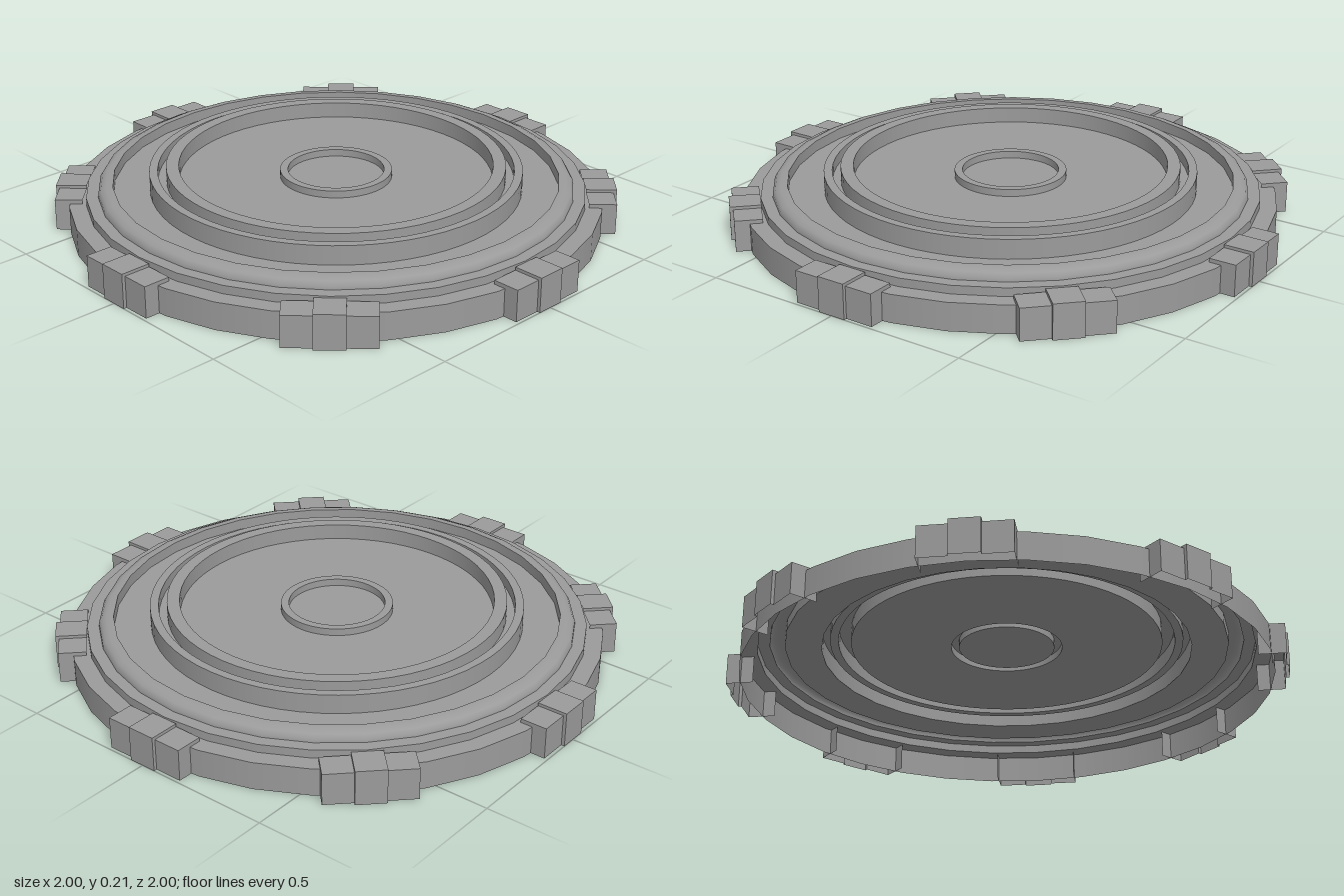
import * as THREE from 'three';
import { mergeGeometries } from 'three/addons/utils/BufferGeometryUtils.js';

const material = new THREE.MeshStandardMaterial({ color: 0x9b9b9b, side: THREE.DoubleSide });

// Turned thin shell; each run of [radius, y] points is smooth, with a sharp edge between runs.
function turned(name, runs, sides) {
  const parts = runs.map(run =>
    new THREE.LatheGeometry(run.map(([r, y]) => new THREE.Vector2(r, y)), sides));
  const mesh = new THREE.Mesh(mergeGeometries(parts), material);
  mesh.name = name;
  return mesh;
}

// Split a profile into one sharp-edged run per segment.
const sharp = points => points.slice(1).map((p, i) => [points[i], p]);

// Box between limits that keeps only the listed faces.
const LEFT = 0, RIGHT = 1, TOP = 2, OUTER = 4;
function openBox(faces, [x0, x1], [y0, y1], [z0, z1]) {
  const box = new THREE.BoxGeometry(x1 - x0, y1 - y0, z1 - z0);
  const index = Array.from(box.index.array);
  box.setIndex(faces.flatMap(f => index.slice(f * 6, f * 6 + 6)));
  box.clearGroups();
  return box.translate((x0 + x1) / 2, (y0 + y1) / 2, (z0 + z1) / 2);
}

// Hollow tooth pointing along +z: the middle stands a little above and in front of the sides.
function toothGeometry() {
  const inner = 0.89, sideEnd = 0.988, end = 1;
  const sideTop = 0.114, top = 0.125;
  const half = 0.154, mid = 0.052;
  return mergeGeometries([
    openBox([LEFT, TOP, OUTER], [mid, half], [0, sideTop], [inner, sideEnd]),
    openBox([RIGHT, TOP, OUTER], [-half, -mid], [0, sideTop], [inner, sideEnd]),
    openBox([LEFT, RIGHT, TOP, OUTER], [-mid, mid], [sideTop, top], [inner, end]),
    openBox([LEFT, RIGHT, OUTER], [-mid, mid], [0, sideTop], [sideEnd, end]),
  ]);
}

export function createModel() {
  const model = new THREE.Group();

  // Outer wall, shelf, rounded rim and the trench behind it
  model.add(turned('outerRim', [
    ...sharp([[0.95, 0], [0.95, 0.1], [0.89, 0.1], [0.89, 0.13], [0.848, 0.13]]),
    [[0.848, 0.13], [0.847, 0.142], [0.838, 0.156], [0.82, 0.164], [0.795, 0.165]],
    ...sharp([[0.795, 0.165], [0.795, 0.125], [0.664, 0.125]]),
  ], 32));

  // Low outer ring, narrow groove and taller inner ring around the recessed floor
  model.add(turned('raisedRing', sharp([
    [0.665, 0.125], [0.665, 0.195], [0.635, 0.195], [0.635, 0.155], [0.605, 0.155],
    [0.605, 0.21], [0.56, 0.21], [0.56, 0.152], [0.2, 0.152],
  ]), 64));

  // Small ring at the centre, and the floor inside it
  model.add(turned('centreRing', sharp([
    [0.2, 0.152], [0.2, 0.178], [0.172, 0.178], [0.172, 0.152], [0, 0.152],
  ]), 64));

  // Eight teeth around the edge
  const geometry = toothGeometry();
  for (let i = 0; i < 8; i++) {
    const tooth = new THREE.Mesh(geometry, material);
    tooth.name = 'tooth' + (i + 1);
    tooth.rotation.y = i * Math.PI / 4;
    model.add(tooth);
  }
  return model;
}
